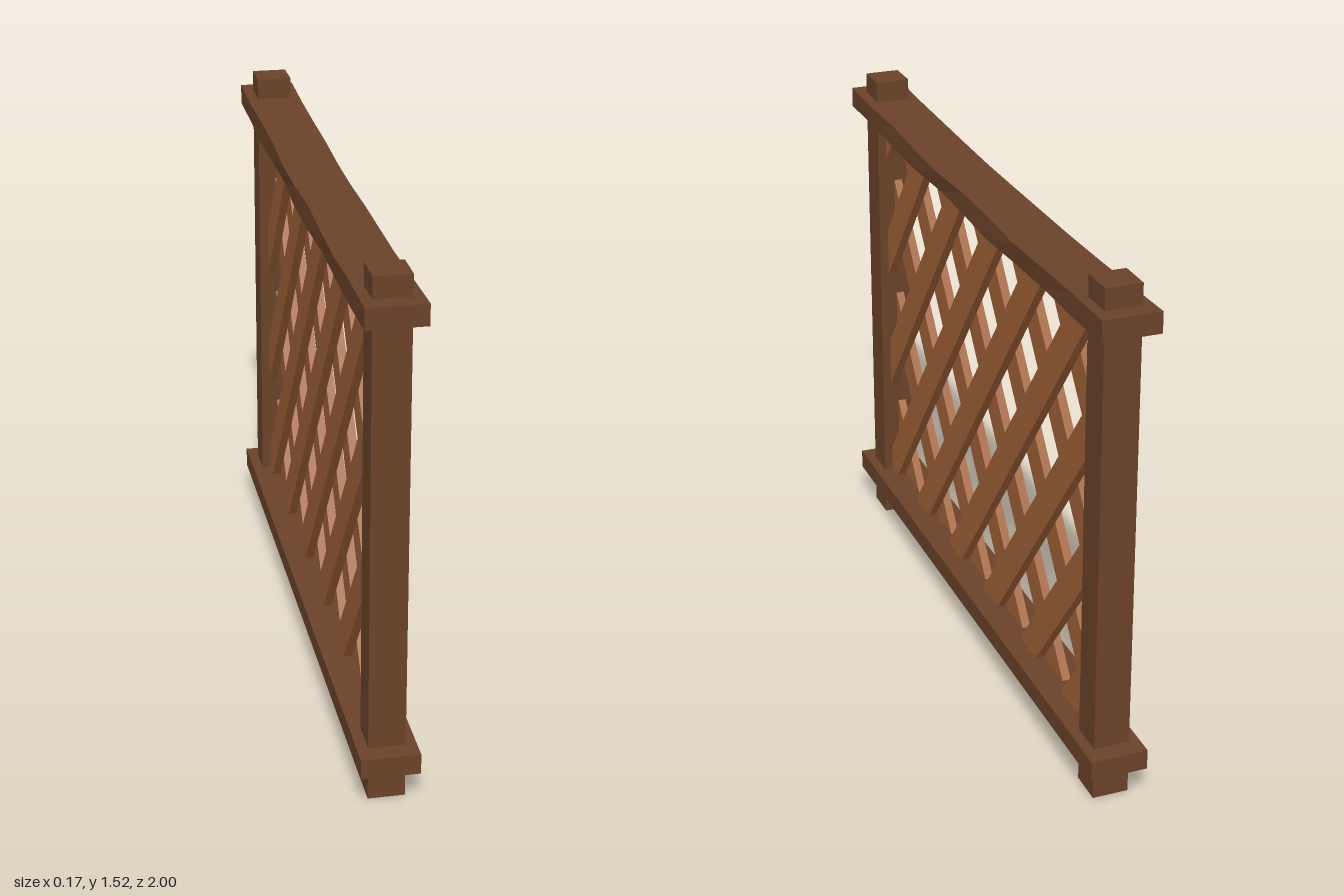
import * as THREE from 'three';

const dark = new THREE.MeshStandardMaterial({ color: 0x6a4228, flatShading: true });
const light = new THREE.MeshStandardMaterial({ color: 0xa06236, flatShading: true });

const HALF_Z = 0.85, Y0 = 0.15, Y1 = 1.38; // lattice opening
const RISE = 1.26, PITCH = 0.31, SLAT_W = 0.122; // slat slope, spacing and horizontal width

function box(name, w, h, d, x, y, z) {
  const mesh = new THREE.Mesh(new THREE.BoxGeometry(w, h, d), dark);
  mesh.position.set(x, y, z);
  mesh.name = name;
  return mesh;
}

// Keep the part of a convex outline where dist(p) >= 0
function clip(points, dist) {
  const out = [];
  points.forEach((a, i) => {
    const b = points[(i + 1) % points.length];
    const da = dist(a), db = dist(b);
    if (da >= 0) out.push(a);
    if ((da >= 0) !== (db >= 0)) out.push(a.clone().lerp(b, da / (da - db)));
  });
  return out;
}

// Diagonal slat trimmed to the opening; shape x runs towards -z
function slatShape(base, dir) {
  const run = (Y1 - Y0) / RISE * dir, h = SLAT_W / 2;
  let p = [[base - h, Y0], [base + h, Y0], [base + run + h, Y1], [base + run - h, Y1]]
    .map(([x, y]) => new THREE.Vector2(x, y));
  p = clip(p, v => v.x + HALF_Z);
  p = clip(p, v => HALF_Z - v.x);
  return p.length > 2 ? new THREE.Shape(p) : null;
}

function slatLayer(name, dir, x) {
  const layer = new THREE.Group();
  layer.name = name;
  const thick = 0.025;
  // Slats pass through the node at height 0.445 on the centre line
  const start = (Y0 - 0.445) / RISE * dir;
  for (let k = -8; k <= 8; k++) {
    const shape = slatShape(start + k * PITCH, dir);
    if (!shape) continue;
    const geo = new THREE.ExtrudeGeometry(shape, { depth: thick, bevelEnabled: false });
    geo.rotateY(Math.PI / 2);
    const slat = new THREE.Mesh(geo, light);
    slat.position.x = x;
    slat.name = 'slat';
    layer.add(slat);
  }
  return layer;
}

// Top rail: a worn beam that sags towards the middle
function topRail() {
  const geo = new THREE.BoxGeometry(0.166, 0.06, 2, 1, 1, 10);
  const pos = geo.attributes.position;
  for (let i = 0; i < pos.count; i++) {
    const x = pos.getX(i), y = pos.getY(i), z = pos.getZ(i);
    const free = 1 - z * z; // ends stay put
    const wave = Math.sin(z * 9 + Math.sign(x) * 1.3 + Math.sign(y));
    pos.setY(i, y - 0.016 * free + 0.003 * free * wave);
    pos.setX(i, x - Math.sign(x) * 0.004 * free * (1 + wave));
  }
  geo.computeVertexNormals();
  const rail = new THREE.Mesh(geo, dark);
  rail.position.y = 1.43;
  rail.name = 'topRail';
  return rail;
}

export function createModel() {
  const group = new THREE.Group();
  group.name = 'latticeFence';
  // Posts at both ends
  for (const s of [1, -1]) {
    group.add(box(s > 0 ? 'frontPost' : 'backPost', 0.104, 1.52, 0.104, 0, 0.76, s * 0.893));
  }
  // Rails
  group.add(box('bottomRail', 0.166, 0.06, 2, 0, 0.13, 0), topRail());
  // Two crossing layers of slats
  group.add(slatLayer('leftSlats', 1, 0), slatLayer('rightSlats', -1, -0.025));
  return group;
}
